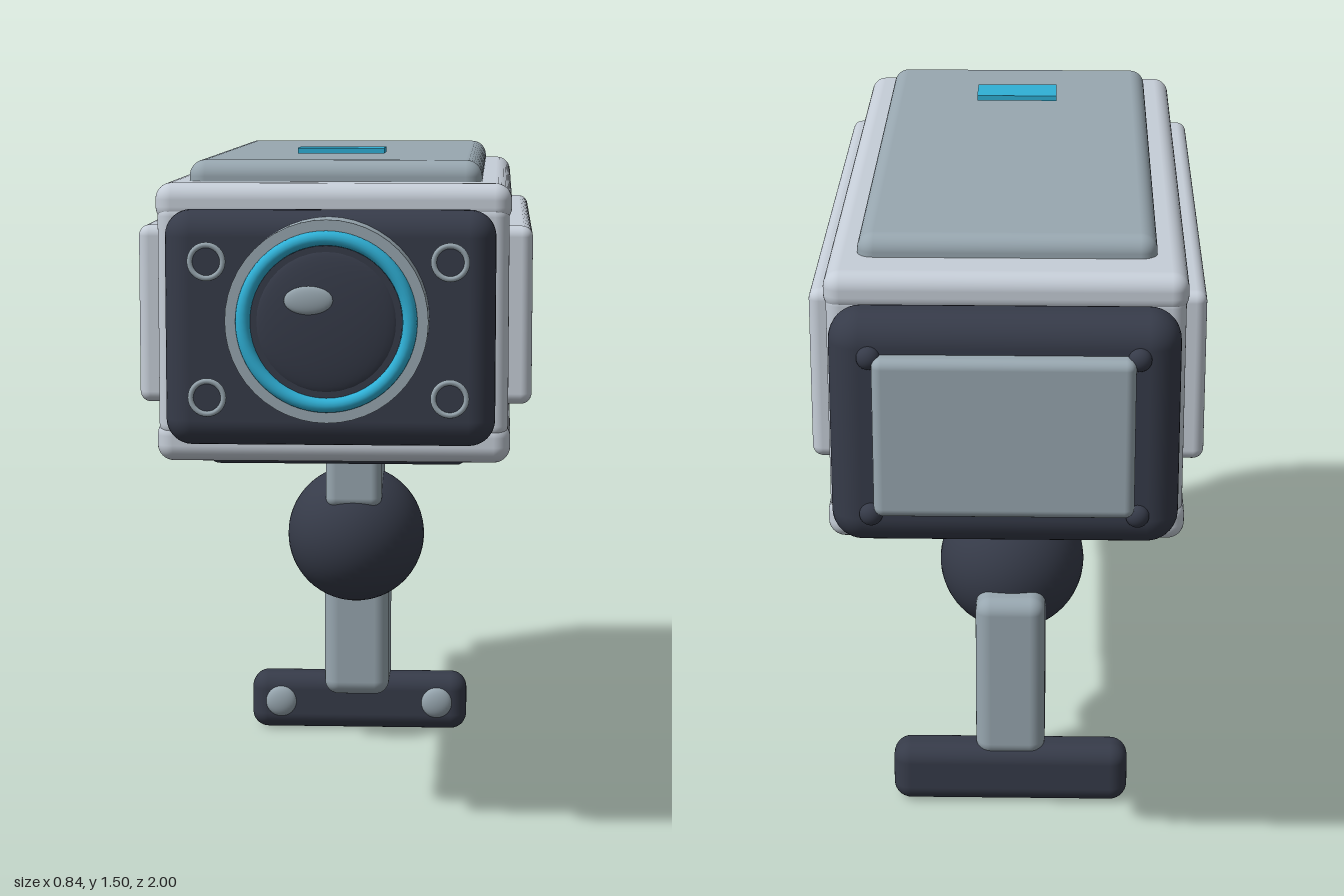
import * as THREE from 'three';
import { RoundedBoxGeometry } from 'three/addons/geometries/RoundedBoxGeometry.js';

const material = (name, color) => {
  const m = new THREE.MeshStandardMaterial({ color });
  m.name = name;
  return m;
};

export function createModel() {
  const light = material('light grey shell', 0xc6ced8);
  const grey = material('mid grey metal', 0x98a7b0);
  const dark = material('dark charcoal', 0x363b49);
  const blue = material('cyan accent', 0x2fb0d6);

  const model = new THREE.Group();
  model.name = 'securityCamera';

  const add = (name, geometry, mat, x = 0, y = 0, z = 0) => {
    const mesh = new THREE.Mesh(geometry, mat);
    mesh.name = name;
    mesh.position.set(x, y, z);
    model.add(mesh);
    return mesh;
  };
  // Rounded box given by its x, y and z extents
  const block = (name, mat, [x0, x1], [y0, y1], [z0, z1], r) =>
    add(name, new RoundedBoxGeometry(x1 - x0, y1 - y0, z1 - z0, 5, r), mat,
      (x0 + x1) / 2, (y0 + y1) / 2, (z0 + z1) / 2);
  // Disc or barrel facing +z, from z0 to z1
  const barrel = (name, mat, r, x, y, z0, z1) =>
    add(name, new THREE.CylinderGeometry(r, r, z1 - z0, 48).rotateX(Math.PI / 2), mat, x, y, (z0 + z1) / 2);
  const dome = (name, mat, x, y, z, sx, sy, sz) =>
    add(name, new THREE.SphereGeometry(1, 32, 20), mat, x, y, z).scale.set(sx, sy, sz);

  // Housing
  block('housing', light, [-0.37, 0.37], [0.9, 1.4], [-0.815, 0.768], 0.03);
  block('upperRail', light, [-0.375, 0.375], [1.355, 1.44], [-0.818, 0.767], 0.035);
  block('lowerRail', light, [-0.375, 0.375], [0.85, 0.94], [-0.818, 0.767], 0.035);
  block('topCover', grey, [-0.312, 0.312], [1.4, 1.485], [-0.703, 0.678], 0.035);
  block('bottomPlate', dark, [-0.28, 0.28], [0.82, 0.89], [-0.65, 0.585], 0.02);
  add('topMarker', new THREE.BoxGeometry(0.19, 0.012, 0.104), blue, 0, 1.497, 0.388);
  for (const s of [-1, 1]) {
    block(s > 0 ? 'leftSidePanel' : 'rightSidePanel', light,
      s > 0 ? [0.34, 0.42] : [-0.42, -0.34], [0.967, 1.347], [-0.65, 0.683], 0.023);
  }

  // Front bezel and lens
  const lensY = 1.17;
  barrel('frontGasket', dark, 0.14, 0, lensY, 0.75, 0.8);
  block('frontBezel', dark, [-0.343, 0.343], [0.9, 1.39], [0.775, 0.892], 0.055);
  barrel('lensBarrel', grey, 0.207, 0, lensY, 0.86, 0.972);
  add('lensRing', new THREE.TorusGeometry(0.17, 0.015, 16, 64), blue, 0, lensY, 0.975);
  barrel('lensRim', dark, 0.155, 0, lensY, 0.96, 0.977);
  dome('lensGlass', dark, 0, lensY, 0.972, 0.147, 0.147, 0.02);
  dome('lensGlint', grey, -0.035, 1.215, 0.99, 0.05, 0.029, 0.01);

  // Small sensors in the bezel corners
  for (const x of [-0.25, 0.25]) {
    for (const y of [1.007, 1.287]) {
      barrel('sensor', dark, 0.03, x, y, 0.87, 0.915);
      add('sensorRing', new THREE.TorusGeometry(0.034, 0.006, 10, 32), grey, x, y, 0.914);
    }
  }

  // Rear cap
  block('rearCap', dark, [-0.357, 0.357], [0.897, 1.397], [-0.962, -0.82], 0.065);
  block('rearPanel', grey, [-0.265, 0.265], [0.98, 1.322], [-1, -0.93], 0.02);
  for (const x of [-0.272, 0.272]) {
    for (const y of [0.975, 1.315]) dome('rearScrew', dark, x, y, -0.963, 0.024, 0.024, 0.02);
  }

  // Mount
  block('neck', grey, [-0.068, 0.068], [0.615, 0.85], [-0.307, -0.067], 0.025);
  add('ballJoint', new THREE.SphereGeometry(0.168, 48, 32), dark, 0, 0.533, -0.207);
  block('arm', grey, [-0.08, 0.08], [0.117, 0.518], [-0.427, -0.21], 0.035);
  block('footBar', dark, [-0.273, 0.273], [0, 0.143], [-0.435, -0.335], 0.04);
  for (const x of [-0.198, 0.198]) dome('footScrew', grey, x, 0.073, -0.337, 0.039, 0.039, 0.018);

  return model;
}
